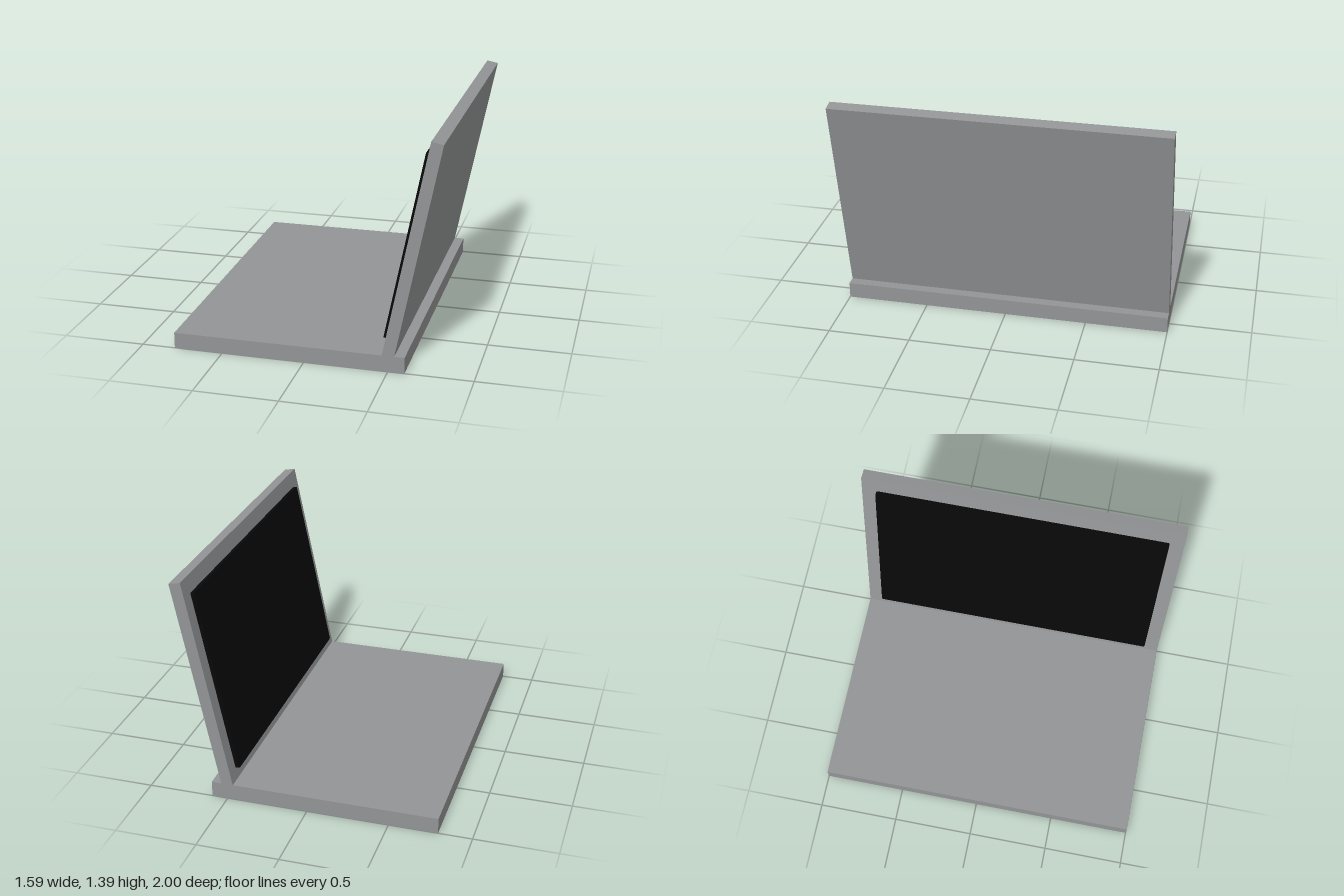
import * as THREE from 'three';

const grey = new THREE.MeshStandardMaterial({ color: 0x939495 });
const black = new THREE.MeshStandardMaterial({ color: 0x080808 });

// Rectangle with rounded corners, centred on the origin
function roundedRect(w, h, r) {
  const x = w / 2, y = h / 2;
  const s = new THREE.Shape();
  s.absarc(x - r, y - r, r, 0, Math.PI / 2);
  s.absarc(-x + r, y - r, r, Math.PI / 2, Math.PI);
  s.absarc(-x + r, -y + r, r, Math.PI, Math.PI * 1.5);
  s.absarc(x - r, -y + r, r, Math.PI * 1.5, Math.PI * 2);
  s.closePath();
  return s;
}

function addMesh(parent, name, geometry, material, x, y) {
  const mesh = new THREE.Mesh(geometry, material);
  mesh.name = name;
  mesh.position.set(x, y, 0);
  parent.add(mesh);
}

export function createModel() {
  const model = new THREE.Group();
  model.name = 'openLaptop';

  // Flat base slab
  addMesh(model, 'base', new THREE.BoxGeometry(1.395, 0.098, 2), grey, -0.0995, 0.049);

  // Leaning lid, hung from the top edge of its inner face
  const lid = new THREE.Group();
  lid.name = 'lid';
  lid.position.set(0.725, 1.388, 0);
  lid.rotation.z = -0.2;
  model.add(lid);
  addMesh(lid, 'lidPanel', new THREE.BoxGeometry(0.072, 1.36, 2), grey, 0.036, -0.68);

  // Thin dark screen on the inner face of the lid
  const screen = new THREE.ExtrudeGeometry(roundedRect(1.82, 1.152, 0.012), {
    depth: 0.025, bevelEnabled: false, curveSegments: 4,
  });
  screen.rotateY(-Math.PI / 2);
  addMesh(lid, 'screen', screen, black, 0, -0.676);

  return model;
}
